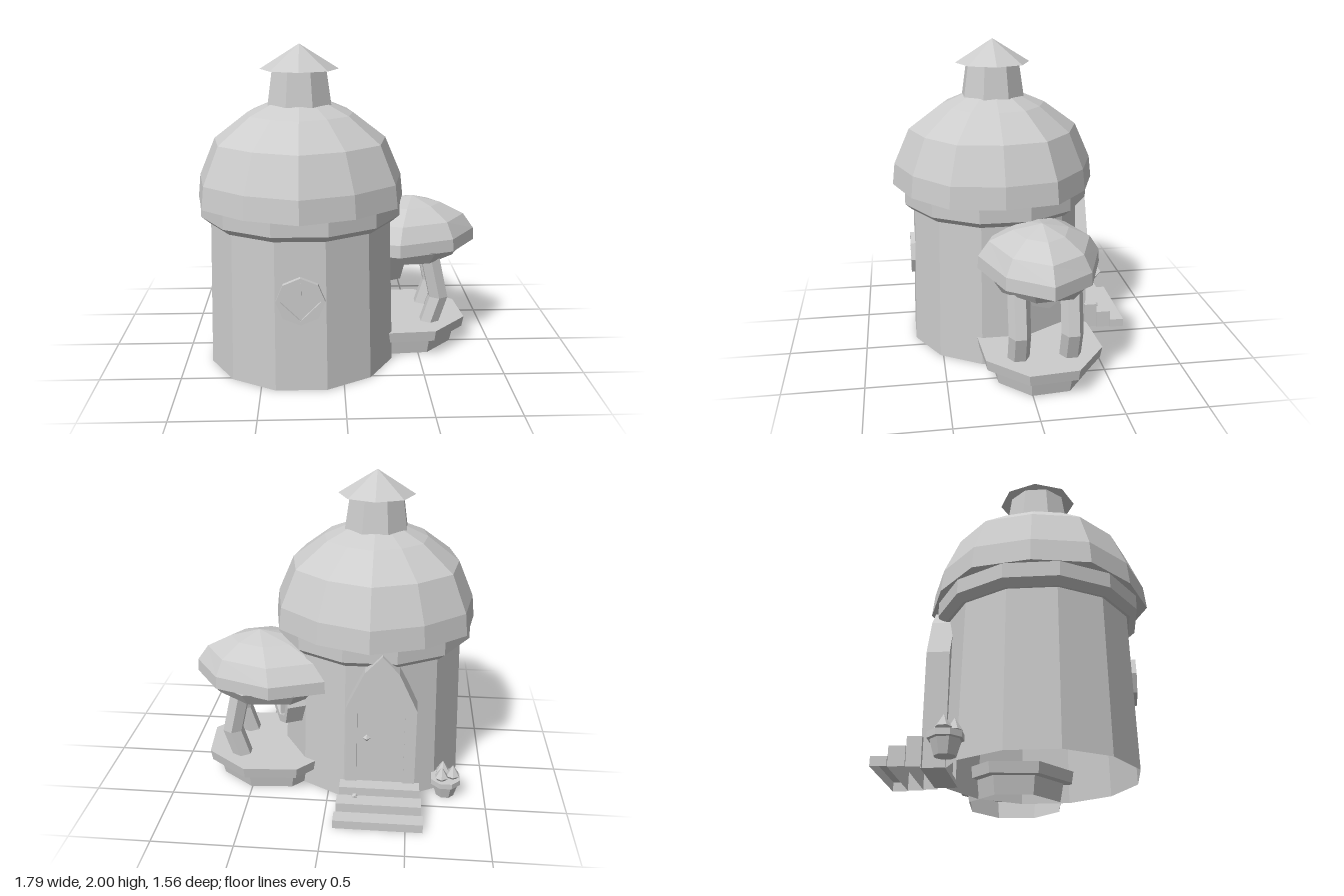
import * as THREE from 'three';

// Shells are open underneath, so both sides show
const stone = new THREE.MeshStandardMaterial({ color: 0xcccccc, flatShading: true, side: THREE.DoubleSide });
stone.name = 'light grey';

function add(parent, name, geometry, x = 0, y = 0, z = 0) {
  const m = new THREE.Mesh(geometry, stone);
  m.name = name;
  m.position.set(x, y, z);
  parent.add(m);
  return m;
}

// Faceted turned body from [radius, height] pairs, listed bottom to top
function turned(profile, sides, turn = 0, sx = 1, sz = 1) {
  const g = new THREE.LatheGeometry(profile.map(([r, y]) => new THREE.Vector2(r, y)), sides, turn);
  return g.scale(sx, 1, sz);
}

function bendVertices(g, rule) {
  const p = g.attributes.position, v = new THREE.Vector3();
  for (let i = 0; i < p.count; i++) {
    v.fromBufferAttribute(p, i);
    rule(v);
    p.setXYZ(i, v.x, v.y, v.z);
  }
  return g;
}

// Pull in every second rib of a turned body
function pullRibs(g, sides, factor) {
  return bendVertices(g, (v) => {
    const k = Math.round((Math.atan2(v.x, v.z) * sides) / (Math.PI * 2));
    if (Math.abs(k) % 2 === 1) { v.x *= factor; v.z *= factor; }
  });
}

function polygon(sides, r, Type = THREE.Shape) {
  const pts = [];
  for (let i = 0; i < sides; i++) {
    const a = (i / sides) * Math.PI * 2;
    pts.push(new THREE.Vector2(Math.cos(a) * r, Math.sin(a) * r));
  }
  return new Type(pts);
}

const extrude = (shape, depth) => new THREE.ExtrudeGeometry(shape, { depth, bevelEnabled: false });

// Octagonal window with an opening, recessed pane and upright bar, facing +z
function makeWindow(name, r, hole, holeSides, depth) {
  const g = new THREE.Group();
  g.name = name;
  const frame = polygon(8, r);
  frame.holes.push(polygon(holeSides, hole, THREE.Path));
  add(g, 'windowFrame', extrude(frame, depth));
  add(g, 'windowPane', extrude(polygon(holeSides, hole), depth * 0.65));
  add(g, 'windowBar', new THREE.BoxGeometry(0.016, hole * 1.9, depth * 0.9), 0, 0, depth * 0.5);
  return g;
}

// Pointed arch outline
function arch(half, spring, shoulder, top, bottom = 0, Type = THREE.Shape) {
  return new Type([
    [-half, bottom], [half, bottom], [half, spring], [half * 0.48, shoulder],
    [0, top], [-half * 0.48, shoulder], [-half, spring],
  ].map(([x, y]) => new THREE.Vector2(x, y)));
}

function makeTower() {
  const t = new THREE.Group();
  t.name = 'tower';
  t.position.set(-0.257, 0, 0.11);
  const half = Math.PI / 12;
  add(t, 'towerWall', turned([[0.598, 0], [0.57, 0.96]], 12, half, 1, 0.965));
  add(t, 'eaveBand', turned([[0.55, 0.93], [0.585, 0.93], [0.63, 0.97], [0.63, 1.07]], 12, half, 1, 0.975));
  add(t, 'domeRoof', pullRibs(turned(
    [[0.6, 1.06], [0.668, 1.06], [0.652, 1.2], [0.55, 1.43], [0.34, 1.585], [0.2, 1.645], [0, 1.645]], 12), 12, 0.958));
  add(t, 'chimney', turned([[0.208, 1.64], [0.175, 1.86]], 8, Math.PI / 8));
  add(t, 'chimneyCap', turned([[0.24, 1.85], [0, 2]], 8));

  const front = makeWindow('frontWindow', 0.145, 0.12, 4, 0.05);
  front.position.set(0, 0.57, 0.52);
  t.add(front);
  const side = makeWindow('sideWindow', 0.19, 0.14, 8, 0.13);
  const a = (115 * Math.PI) / 180;
  side.position.set(Math.sin(a) * 0.53, 0.565, Math.cos(a) * 0.53);
  side.rotation.y = a;
  t.add(side);
  return t;
}

function makeBalcony() {
  const b = new THREE.Group();
  b.name = 'balcony';
  const turn = (27 * Math.PI) / 180;
  add(b, 'balconyBase', turned([[0.79, 0], [0.85, 0.12]], 8, turn, 0.445, 0.39), 0.4, 0, -0.09);
  add(b, 'balconyFloor', turned([[0, 0.115], [0.97, 0.115], [1, 0.185], [0, 0.185]], 8, turn, 0.445, 0.4), 0.4, 0, -0.09);
  add(b, 'balconyEave', turned([[0, 0.61], [0.84, 0.61], [1, 0.695]], 8, turn, 0.42, 0.355), 0.4, 0, -0.105);

  // Roof leans outward toward its peak
  const roof = turned([[0.8, 0.69], [1, 0.69], [0.99, 0.77], [0.82, 0.87], [0.45, 0.95], [0, 1]], 8);
  pullRibs(roof, 8, 0.945).scale(0.53, 1, 0.38);
  bendVertices(roof, (v) => {
    if (v.y > 0.78) v.x += 0.11 * (1 - Math.hypot(v.x / 0.53, v.z / 0.38));
  });
  add(b, 'balconyRoof', roof, 0.36, 0, -0.095);

  // Bent posts, bowed outward at the middle
  for (const z of [0.065, -0.255]) {
    const post = new THREE.CylinderGeometry(0.068, 0.068, 0.46, 6, 2, true);
    bendVertices(post, (v) => {
      if (Math.abs(v.y) < 0.1) { v.x += 0.06; v.y -= 0.04; }
    });
    add(b, 'balconyPost', post, 0.578, 0.395, z);
  }
  return b;
}

// Box without its underside
function step(w, h, d) {
  const g = new THREE.BoxGeometry(w, h, d);
  const index = Array.from(g.index.array);
  index.splice(18, 6);
  g.setIndex(index);
  g.clearGroups();
  return g;
}

function makeEntrance() {
  const e = new THREE.Group();
  e.name = 'entrance';
  e.position.set(-0.333, 0, 0);
  const frame = arch(0.215, 0.68, 0.92, 1.03);
  frame.holes.push(arch(0.145, 0.65, 0.81, 0.9, 0.03, THREE.Path));
  add(e, 'doorFrame', extrude(frame, 0.135), 0, 0, -0.38).rotation.y = Math.PI;
  add(e, 'door', extrude(arch(0.15, 0.65, 0.81, 0.9), 0.085), 0, 0, -0.4).rotation.y = Math.PI;
  add(e, 'doorKnob', new THREE.OctahedronGeometry(0.024), 0.085, 0.475, -0.5);

  // Steps: top to bottom, growing wider
  [[0.494, 0.17, -0.505, -0.59], [0.52, 0.115, -0.59, -0.685], [0.545, 0.055, -0.685, -0.778]].forEach(([w, h, z0, z1]) =>
    add(e, 'step', step(w, h, z0 - z1), 0, h / 2, (z0 + z1) / 2));
  add(e, 'pebble', new THREE.IcosahedronGeometry(0.02), 0.15, 0.12, -0.605);
  return e;
}

function makePlanter() {
  const p = new THREE.Group();
  p.name = 'planter';
  p.position.set(-0.75, 0, -0.345);
  add(p, 'pot', turned([[0, 0], [0.06, 0], [0.085, 0.085], [0.1, 0.09], [0.1, 0.125], [0, 0.125]], 8, Math.PI / 8));
  // Pointed buds
  for (let i = 0; i < 3; i++) {
    const a = (i / 3) * Math.PI * 2 + 0.4;
    add(p, 'bud', turned([[0.02, 0], [0.045, 0.03], [0, 0.1]], 6), Math.sin(a) * 0.045, 0.115, Math.cos(a) * 0.045);
  }
  return p;
}

export function createModel() {
  const model = new THREE.Group();
  model.name = 'roundTowerHouse';
  model.add(makeTower(), makeBalcony(), makeEntrance(), makePlanter());
  return model;
}
